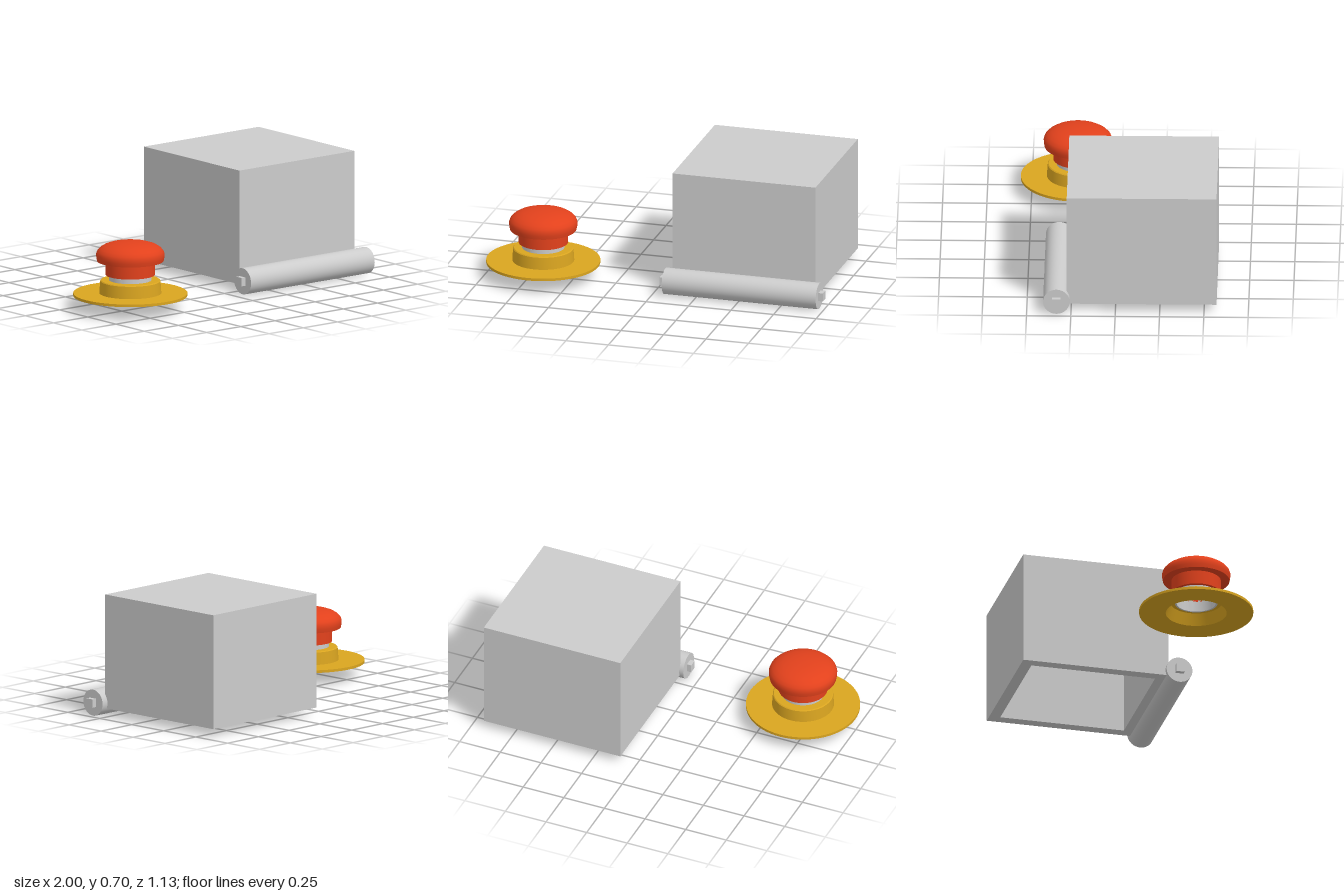
import * as THREE from 'three';
import { toCreasedNormals } from 'three/addons/utils/BufferGeometryUtils.js';

const material = (color) => new THREE.MeshStandardMaterial({ color });
const grey = material(0xcccccc);
const yellow = material(0xdaa520);
const red = material(0xe2411c);

function add(parent, name, geometry, mat, x = 0, y = 0, z = 0) {
  const mesh = new THREE.Mesh(geometry, mat);
  mesh.name = name;
  mesh.position.set(x, y, z);
  parent.add(mesh);
  return mesh;
}

// Turned solid; the profile runs up the outside and down the inside
function turned(profile) {
  const points = profile.map(([r, y]) => new THREE.Vector2(r, y));
  return toCreasedNormals(new THREE.LatheGeometry(points, 72), 0.6);
}

function createButton() {
  const button = new THREE.Group();
  button.name = 'pushButton';
  button.position.set(-0.68, 0, 0.24);

  // Flat disc with a raised collar, hollow underneath
  add(button, 'basePlate', turned([
    [0.172, 0.08], [0.322, 0.08], [0.322, 0.095], [0.175, 0.095],
    [0.17, 0.165], [0.165, 0.17], [0.118, 0.17], [0.118, 0.155],
    [0.145, 0.145], [0.172, 0.08],
  ]), yellow);

  // Hollow stem
  add(button, 'stem', turned([
    [0.11, 0.14], [0.12, 0.14], [0.12, 0.21], [0.11, 0.21], [0.11, 0.14],
  ]), grey);

  // Domed cap with its neck, recessed underneath
  add(button, 'cap', turned([
    [0, 0.235], [0.11, 0.235], [0.11, 0.2], [0.139, 0.2], [0.139, 0.28],
    [0.188, 0.28], [0.192, 0.3], [0.193, 0.32], [0.187, 0.337],
    [0.172, 0.353], [0.148, 0.368], [0.115, 0.379], [0.07, 0.387],
    [0.03, 0.39], [0, 0.39],
  ]), red);
  return button;
}

function createCover() {
  const cover = new THREE.Group();
  cover.name = 'hingedCover';
  const size = { x: 0.84, z: 0.845 }, bottom = 0.045, top = 0.7, wall = 0.063;

  // Side walls: a square ring extruded upward, open at the bottom
  const outline = (w, d, PathType) => new PathType([
    [-w, -d], [w, -d], [w, d], [-w, d],
  ].map(([x, y]) => new THREE.Vector2(x, y)));
  const ring = outline(size.x / 2, size.z / 2, THREE.Shape);
  ring.holes.push(outline(size.x / 2 - wall, size.z / 2 - wall, THREE.Path));
  const walls = new THREE.ExtrudeGeometry(ring, { depth: top - wall - bottom, bevelEnabled: false });
  walls.rotateX(-Math.PI / 2);
  add(cover, 'boxWalls', walls, grey, 0.51, bottom, -0.148);
  add(cover, 'boxTop', new THREE.BoxGeometry(size.x, wall, size.z), grey, 0.51, top - wall / 2, -0.148);

  // Hinge barrel with a square pin through it
  const barrel = new THREE.CylinderGeometry(0.075, 0.075, 0.905, 48);
  barrel.rotateZ(Math.PI / 2);
  add(cover, 'hingeBarrel', barrel, grey, 0.5175, 0.075, 0.332);
  add(cover, 'hingePin', new THREE.BoxGeometry(0.96, 0.048, 0.048), grey, 0.518, 0.077, 0.332);
  return cover;
}

export function createModel() {
  const model = new THREE.Group();
  model.name = 'buttonAndCover';
  model.add(createButton(), createCover());
  return model;
}
